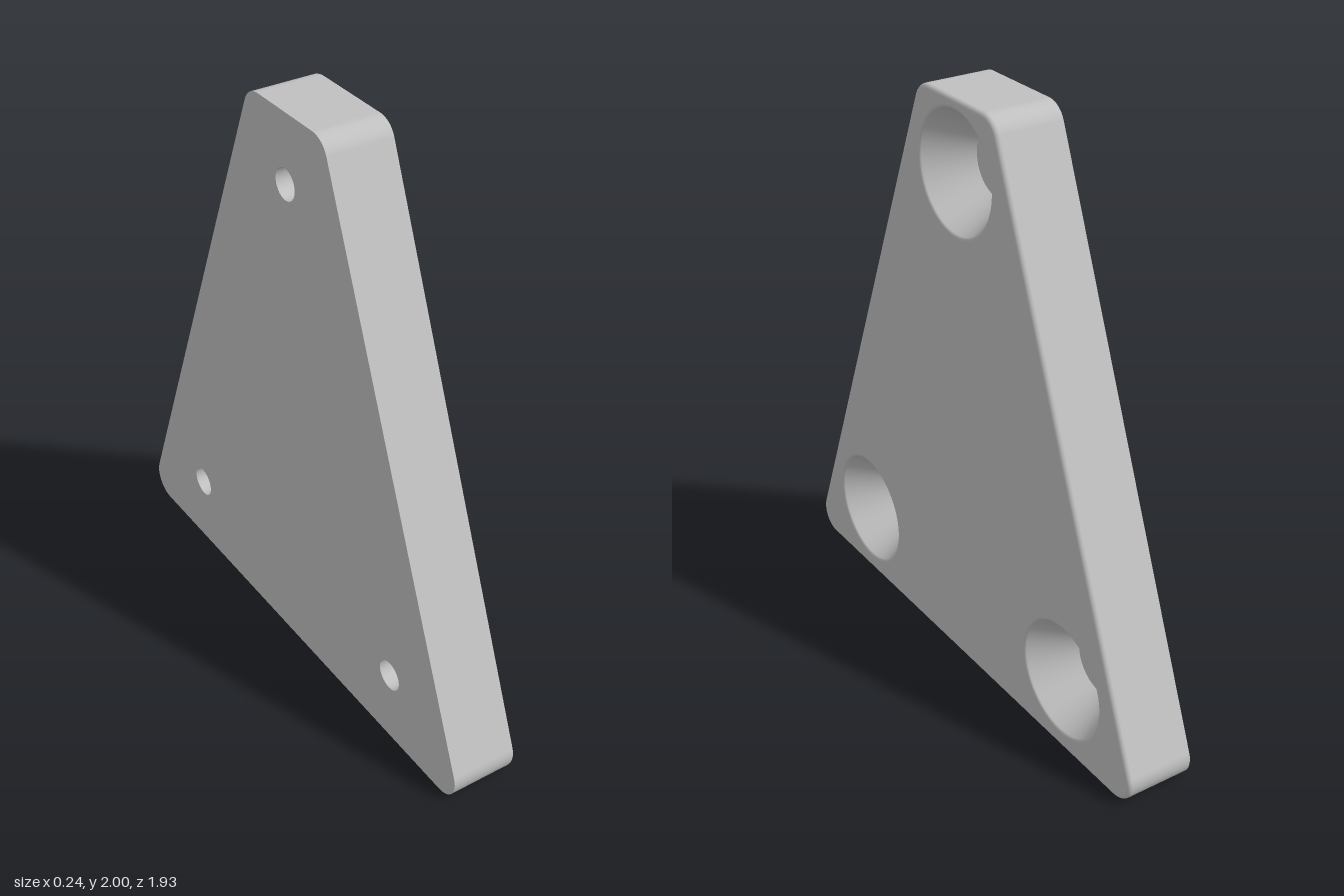
import * as THREE from 'three';

const HALF = 0.119;      // half the plate thickness
const RADIUS = 0.08;     // outline corner radius
const FILLET = 0.015;    // rounding of the outer face's edge
const BORE = 0.053, FLOOR = 0.113, RIM = 0.208;
const FLOOR_Z = HALF - 0.155;
const SEG = 64;
const HOLES = [[0, 1.765], [0.6, 0.26], [-0.6, 0.26]];

// Corner arcs of the plate, counter-clockwise: centre and angle range
const SLOPE = Math.atan(0.4);
const CORNERS = [
  [0.885, RADIUS, -Math.PI / 2, SLOPE],
  [0.149, 2 - RADIUS, SLOPE, Math.PI / 2],
  [-0.149, 2 - RADIUS, Math.PI / 2, Math.PI - SLOPE],
  [-0.885, RADIUS, Math.PI - SLOPE, Math.PI * 1.5],
];

// Outline points with their outward directions
function outline(inset) {
  const pts = [];
  for (const [cx, cy, a0, a1] of CORNERS) {
    for (let i = 0; i <= 12; i++) {
      const a = a0 + (a1 - a0) * i / 12;
      const nx = Math.cos(a), ny = Math.sin(a), r = RADIUS - inset;
      pts.push({ x: cx + r * nx, y: cy + r * ny, nx, ny });
    }
  }
  return pts;
}

// Side wall, rounded over onto the outer face
function wallGeometry() {
  const rings = [{ z: -HALF, inset: 0, t: 0 }];
  for (let i = 0; i <= 6; i++) {
    const t = i / 6 * Math.PI / 2;
    rings.push({
      z: HALF - FILLET + FILLET * Math.sin(t),
      inset: FILLET * (1 - Math.cos(t)), t,
    });
  }
  const pos = [], nor = [], idx = [];
  let n = 0;
  rings.forEach(({ z, inset, t }, k) => {
    const pts = outline(inset);
    n = pts.length;
    pts.forEach((p, j) => {
      pos.push(p.x, p.y, z);
      nor.push(p.nx * Math.cos(t), p.ny * Math.cos(t), Math.sin(t));
      if (k > 0) {
        const j2 = (j + 1) % n, a = (k - 1) * n, b = k * n;
        idx.push(a + j, a + j2, b + j2, a + j, b + j2, b + j);
      }
    });
  });
  const g = new THREE.BufferGeometry();
  g.setAttribute('position', new THREE.Float32BufferAttribute(pos, 3));
  g.setAttribute('normal', new THREE.Float32BufferAttribute(nor, 3));
  g.setIndex(idx);
  return g;
}

// Flat face with a round opening at each hole
function faceGeometry(inset, holeRadius) {
  const shape = new THREE.Shape(outline(inset).map(p => new THREE.Vector2(p.x, p.y)));
  for (const [hx, hy] of HOLES) {
    const circle = [];
    for (let i = 0; i < SEG; i++) {
      const a = -i / SEG * Math.PI * 2;
      circle.push(new THREE.Vector2(hx + holeRadius * Math.cos(a), hy + holeRadius * Math.sin(a)));
    }
    shape.holes.push(new THREE.Path(circle));
  }
  return new THREE.ShapeGeometry(shape);
}

// Countersink profiles, listed from the outer face inwards
function holeProfiles() {
  const cone = [], r = 0.012;
  for (let i = 0; i <= 4; i++) {
    const a = Math.PI * (0.5 + i / 12);
    cone.push([RIM + r * Math.cos(a), HALF - r + r * Math.sin(a)]);
  }
  cone.push([FLOOR, FLOOR_Z]);
  return {
    countersinkCone: cone,
    countersinkFloor: [[FLOOR, FLOOR_Z], [BORE, FLOOR_Z]],
    screwBore: [[BORE, FLOOR_Z], [BORE, -HALF]],
  };
}

export function createModel() {
  const grey = new THREE.MeshStandardMaterial({ color: 0xc0c0c0 });
  grey.name = 'plain grey';

  const plate = new THREE.Group();
  plate.name = 'plate';
  const add = (parent, name, geometry) => {
    const mesh = new THREE.Mesh(geometry, grey);
    mesh.name = name;
    parent.add(mesh);
    return mesh;
  };

  add(plate, 'sideWall', wallGeometry());
  add(plate, 'outerFace', faceGeometry(FILLET, RIM)).position.z = HALF;
  const inner = add(plate, 'innerFace', faceGeometry(0, BORE));
  inner.rotation.y = Math.PI;
  inner.position.z = -HALF;

  // Three countersunk screw holes
  const parts = Object.entries(holeProfiles()).map(([name, pts]) => [
    name,
    new THREE.LatheGeometry(pts.map(p => new THREE.Vector2(...p)), SEG).rotateX(Math.PI / 2),
  ]);
  for (const [x, y] of HOLES) {
    const hole = new THREE.Group();
    hole.name = 'screwHole';
    hole.position.set(x, y, 0);
    for (const [name, geometry] of parts) add(hole, name, geometry);
    plate.add(hole);
  }

  // Turn the countersunk face towards +x
  plate.rotation.y = Math.PI / 2;
  const model = new THREE.Group();
  model.name = 'triangularMountingPlate';
  model.add(plate);
  return model;
}
